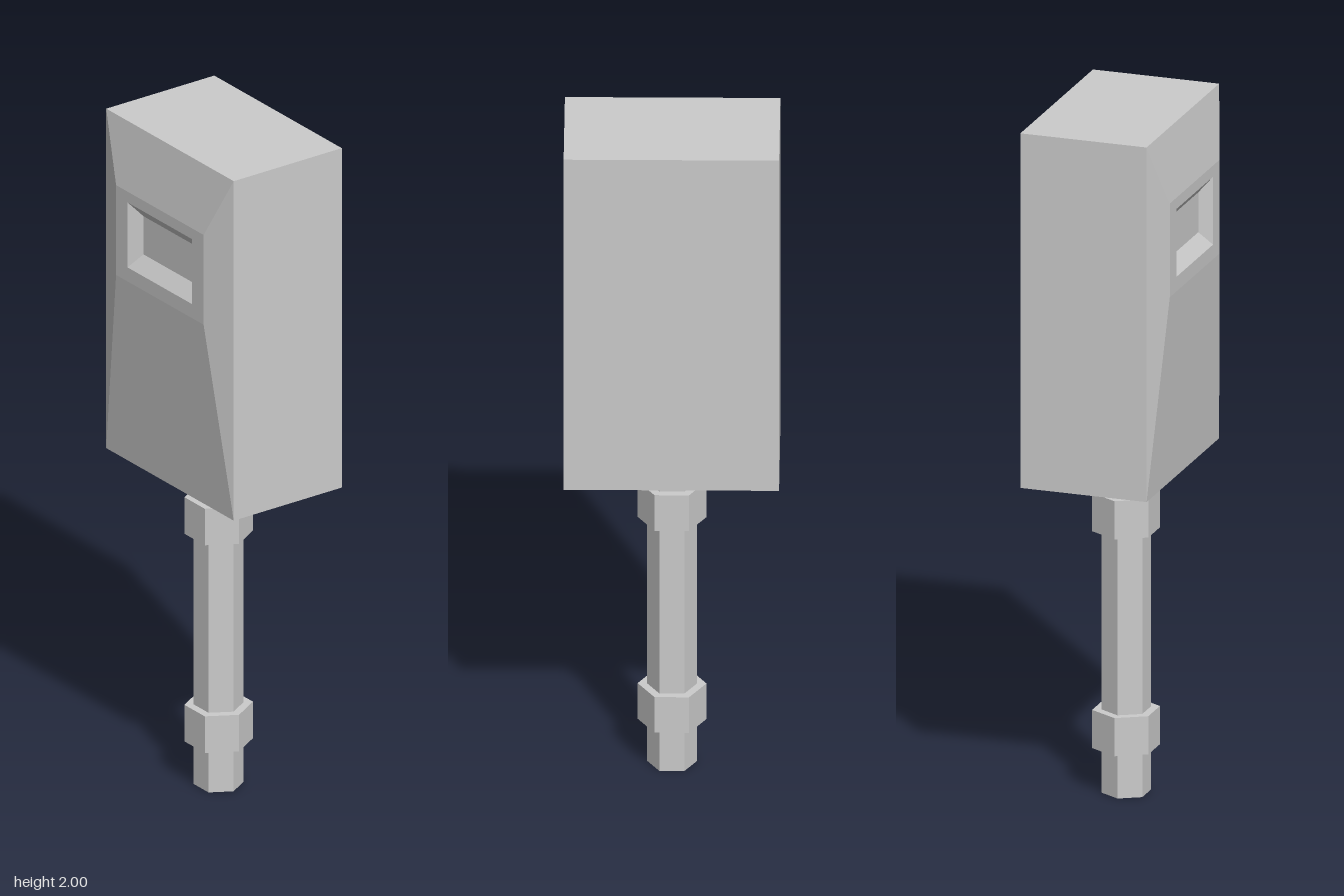
import * as THREE from 'three';

const grey = new THREE.MeshStandardMaterial({ color: 0xcccccc, flatShading: true });
const greyOpen = new THREE.MeshStandardMaterial({ color: 0xcccccc, flatShading: true, side: THREE.DoubleSide });

// Closed solid skinned through rectangles [halfWidth, bottom, top, z], from back to front
function rectLoft(sections) {
  const rings = sections.map(([w, y0, y1, z]) => [[-w, y0, z], [w, y0, z], [w, y1, z], [-w, y1, z]]);
  const pos = [];
  const quad = (a, b, c, d) => pos.push(...a, ...b, ...c, ...a, ...c, ...d);
  const [b0, b1, b2, b3] = rings[0];
  quad(b3, b2, b1, b0);
  for (let i = 0; i < rings.length - 1; i++) {
    for (let j = 0; j < 4; j++) {
      const k = (j + 1) % 4;
      quad(rings[i][j], rings[i][k], rings[i + 1][k], rings[i + 1][j]);
    }
  }
  quad(...rings[rings.length - 1]);
  const geometry = new THREE.BufferGeometry();
  geometry.setAttribute('position', new THREE.Float32BufferAttribute(pos, 3));
  geometry.computeVertexNormals();
  return geometry;
}

// Upright hexagonal prism with corners on the x axis
function hexPrism(name, radius, y0, y1, open, material) {
  const geometry = new THREE.CylinderGeometry(radius, radius, y1 - y0, 6, 1, open, Math.PI / 6);
  const mesh = new THREE.Mesh(geometry, material);
  mesh.name = name;
  mesh.position.y = (y0 + y1) / 2;
  return mesh;
}

export function createModel() {
  const model = new THREE.Group();
  model.name = 'meterOnPost';

  // Housing: box, bevelled raised front, and sunken display window
  const housing = new THREE.Mesh(rectLoft([
    [0.3, 0.96, 2, -0.205],
    [0.3, 0.96, 2, 0.168],
    [0.206, 1.535, 1.81, 0.203],
    [0.152, 1.578, 1.777, 0.203],
    [0.122, 1.62, 1.737, 0.17],
  ]), grey);
  housing.name = 'housing';
  model.add(housing);

  // Hollow hexagonal post, open at the bottom
  model.add(hexPrism('post', 0.07, 0, 0.96, true, greyOpen));

  // Two hexagonal nuts on the post
  model.add(hexPrism('lowerNut', 0.096, 0.132, 0.244, false, grey));
  model.add(hexPrism('upperNut', 0.096, 0.768, 0.88, false, grey));

  return model;
}
